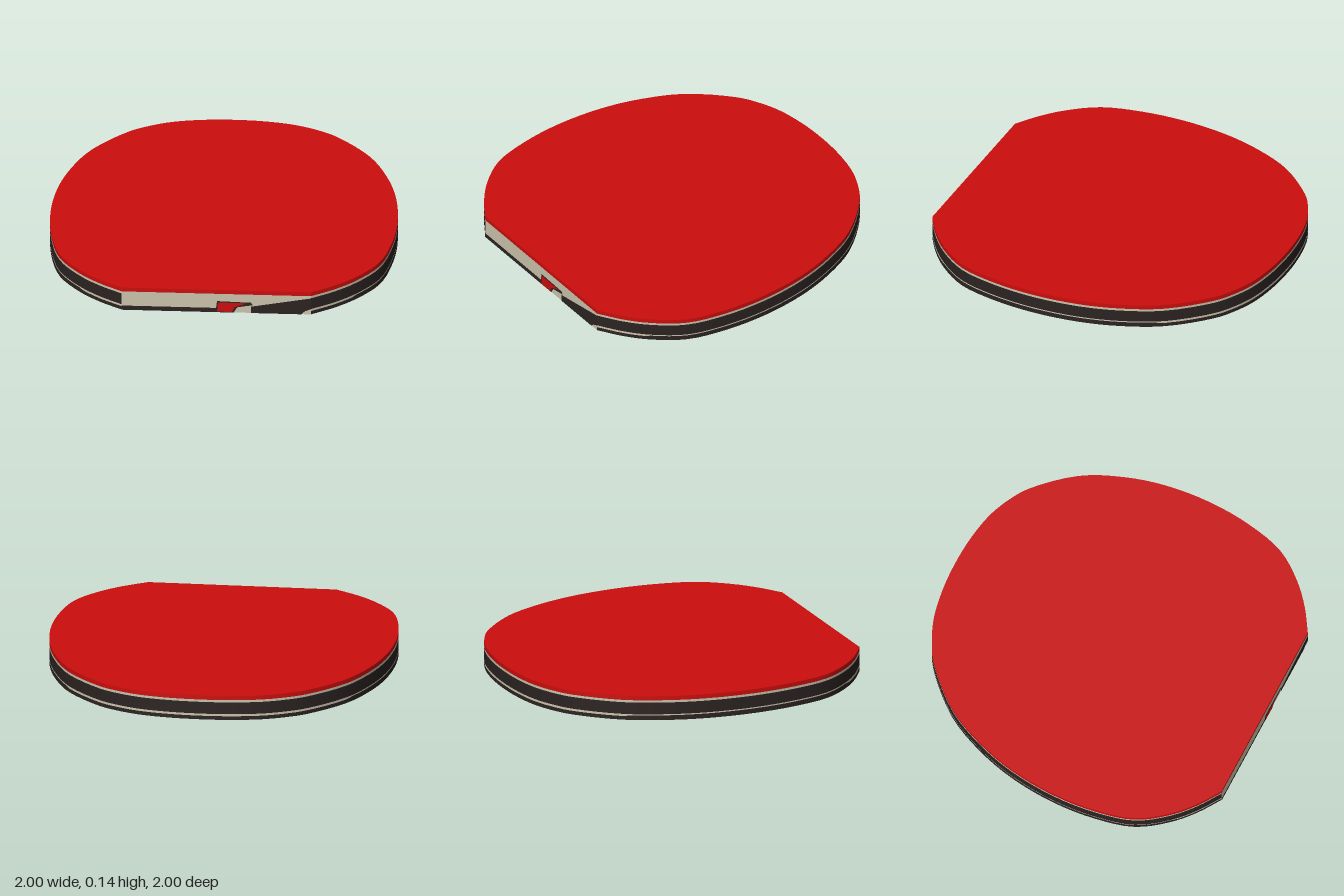
import * as THREE from 'three';

const H = 0.145;      // total thickness
const FRONT_X = 0.545; // half width of the flat front cut

// Half outline (x, z), from the front cut round to the back tip
const half = [[FRONT_X, 1], [0.68, 0.91], [0.8, 0.8], [0.92, 0.63], [0.98, 0.4], [1, 0.14],
  [0.975, -0.14], [0.91, -0.38], [0.8, -0.61], [0.6, -0.83], [0.5, -0.895], [0.36, -0.955], [0.18, -0.99], [0, -1]];

function makeOutline() {
  const mirrored = half.slice(0, -1).reverse().map(([x, z]) => [-x, z]);
  const pts = [...half, ...mirrored].map(([x, z]) => new THREE.Vector3(x, 0, z));
  return new THREE.CatmullRomCurve3(pts, false, 'centripetal').getPoints(104);
}

// Smooth upright band around the curved rim; heights are functions of z
function rimBand(outline, low, high) {
  const pos = [], index = [];
  outline.forEach((p, i) => {
    pos.push(p.x, low(p.z), p.z, p.x, high(p.z), p.z);
    if (i > 0) {
      const a = 2 * (i - 1);
      index.push(a, a + 2, a + 3, a, a + 3, a + 1);
    }
  });
  const geo = new THREE.BufferGeometry();
  geo.setAttribute('position', new THREE.Float32BufferAttribute(pos, 3));
  geo.setIndex(index);
  geo.computeVertexNormals();
  return geo;
}

// Flat polygon facing +z
function plate(points, z) {
  const shape = new THREE.Shape(points.map(([x, y]) => new THREE.Vector2(x, y)));
  return new THREE.ShapeGeometry(shape).translate(0, 0, z);
}

export function createModel() {
  const group = new THREE.Group();
  const material = (name, color) => {
    const m = new THREE.MeshStandardMaterial({ color });
    m.name = name;
    return m;
  };
  const red = material('red rubber', 0xcc0d0d);
  const black = material('black rubber', 0x2b2322);
  const cream = material('cream wood', 0xcbc3ab);
  const add = (name, geo, mat) => {
    const mesh = new THREE.Mesh(geo, mat);
    mesh.name = name;
    group.add(mesh);
  };

  // Top and bottom faces
  const outline = makeOutline();
  const face = new THREE.Shape(outline.map(p => new THREE.Vector2(p.x, -p.z)));
  add('topFace', new THREE.ShapeGeometry(face).rotateX(-Math.PI / 2).translate(0, H, 0), red);
  const flipped = new THREE.Shape(outline.map(p => new THREE.Vector2(p.x, p.z)));
  add('bottomFace', new THREE.ShapeGeometry(flipped).rotateX(Math.PI / 2), black);

  // Layers of the rim, bottom to top; the lower cream line widens at the ends
  const level = y => () => y;
  const lineLow = z => (z > 0.8 || z < -0.6 ? 0.022 : 0.028);
  const layers = [
    ['bottomRubberRim', level(0), lineLow, black],
    ['lowerWoodLine', lineLow, level(0.035), cream],
    ['edgeTape', level(0.035), level(0.106), black],
    ['upperWoodLine', level(0.106), level(0.12), cream],
    ['topRubberRim', level(0.12), level(H), red],
  ];
  for (const [name, low, high, mat] of layers) add(name, rimBand(outline, low, high), mat);

  // Flat front cut
  const rect = (x0, x1, y0, y1) => [[x0, y0], [x1, y0], [x1, y1], [x0, y1]];
  add('frontWood', plate(rect(-FRONT_X, FRONT_X, 0, 0.12), 1), cream);
  add('frontTopRubber', plate(rect(-FRONT_X, FRONT_X, 0.12, H), 1), red);
  add('frontBottomRubber', plate(rect(-FRONT_X, 0, 0, 0.028), 1.002), black);
  add('frontTapeWedge', plate([[0.2, 0], [0.49, 0], [0.51, 0.02], [FRONT_X, 0.035],
    [FRONT_X, 0.106], [0.2, 0.042]], 1.002), black);
  add('frontPatchBorder', plate([[-0.005, 0], [0.1, 0], [0.12, 0.035], [0.21, 0.052],
    [0.2, 0.068], [0.005, 0.073]], 1.002), black);
  add('frontRedPatch', plate([[0.005, 0.006], [0.09, 0.004], [0.105, 0.036],
    [0.175, 0.064], [0.01, 0.066]], 1.004), red);

  return group;
}
